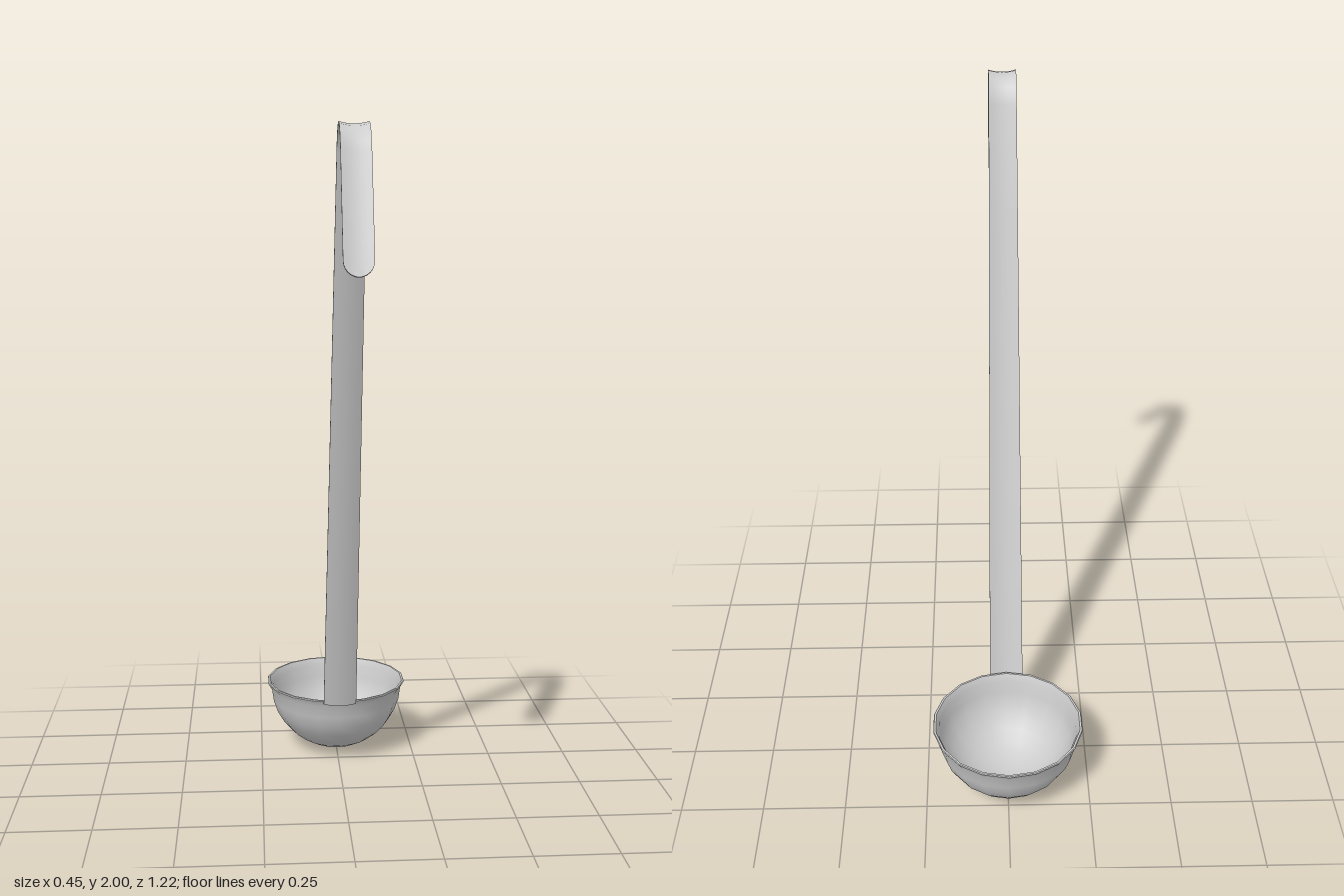
import * as THREE from 'three';
import { toCreasedNormals } from 'three/addons/utils/BufferGeometryUtils.js';

const material = new THREE.MeshStandardMaterial({ color: 0xcccccc, side: THREE.DoubleSide });

// Thin-walled hemispherical bowl with a small flared lip
function bowl() {
  const arc = (r, drop) => Array.from({ length: 9 }, (_, i) => {
    const a = (i / 8) * Math.PI / 2 * 0.97;
    return new THREE.Vector2(r * Math.sin(a), 0.222 - drop * Math.cos(a));
  });
  const lip = [new THREE.Vector2(0.23, 0.232), new THREE.Vector2(0.228, 0.235), new THREE.Vector2(0.222, 0.235)];
  const profile = [...arc(0.218, 0.217), ...lip, ...arc(0.212, 0.209).reverse()];
  const mesh = new THREE.Mesh(toCreasedNormals(new THREE.LatheGeometry(profile, 18), 0.7), material);
  mesh.name = 'bowl';
  mesh.position.z = -0.38;
  return mesh;
}

// Strip handle: slightly channelled section swept along the shaft, bend and hook
function handle() {
  const stations = []; // [z, y, half width]
  for (let i = 0; i < 6; i++) {
    const t = i / 6;
    stations.push([-0.147 + 0.492 * t, 0.225 + 1.7 * t, 0.052 - 0.012 * t]);
  }
  const bend = [[0.345, 1.925], [0.353, 1.945], [0.367, 1.969], [0.39, 1.99], [0.42, 1.997],
    [0.45, 1.99], [0.475, 1.967], [0.488, 1.947], [0.496, 1.928]];
  bend.forEach(([z, y]) => stations.push([z, y, 0.04]));
  // rounded hook tip
  const tip = new THREE.Vector2(0.608, 1.615);
  const dir = tip.clone().sub(new THREE.Vector2(0.496, 1.928)).normalize();
  for (let i = 0; i <= 6; i++) {
    const a = (i / 6) * Math.PI / 2;
    const p = tip.clone().addScaledVector(dir, -0.04 * (1 - Math.sin(a)));
    stations.push([p.x, p.y, Math.max(0.04 * Math.cos(a), 0.004)]);
  }

  const cols = 6, ring = 2 * (cols + 1), thick = 0.003, sag = 0.008;
  const pos = [], index = [];
  stations.forEach(([z, y, w], i) => {
    const a = stations[Math.max(i - 1, 0)], b = stations[Math.min(i + 1, stations.length - 1)];
    const len = Math.hypot(b[0] - a[0], b[1] - a[1]);
    const nz = -(b[1] - a[1]) / len, ny = (b[0] - a[0]) / len;
    for (let k = 0; k < ring; k++) {
      const upper = k <= cols;
      const u = upper ? 1 - 2 * k / cols : -1 + 2 * (k - cols - 1) / cols;
      const x = u * w;
      const off = sag * ((x / 0.045) ** 2 - 0.5) + (upper ? thick : -thick);
      pos.push(x, y + ny * off, z + nz * off);
    }
  });
  for (let i = 0; i < stations.length - 1; i++) {
    for (let k = 0; k < ring; k++) {
      const a = i * ring + k, b = i * ring + (k + 1) % ring;
      index.push(a, a + ring, b, b, a + ring, b + ring);
    }
  }
  // end caps
  const last = (stations.length - 1) * ring;
  for (let k = 0; k < cols; k++) {
    const a = k, b = k + 1, c = ring - 2 - k, d = ring - 1 - k;
    index.push(a, b, c, a, c, d);
    index.push(last + a, last + c, last + b, last + a, last + d, last + c);
  }
  const geo = new THREE.BufferGeometry();
  geo.setAttribute('position', new THREE.Float32BufferAttribute(pos, 3));
  geo.setIndex(index);
  const mesh = new THREE.Mesh(toCreasedNormals(geo, 0.7), material);
  mesh.name = 'handle';
  return mesh;
}

export function createModel() {
  const group = new THREE.Group();
  group.name = 'ladle';
  group.add(bowl(), handle());
  return group;
}
